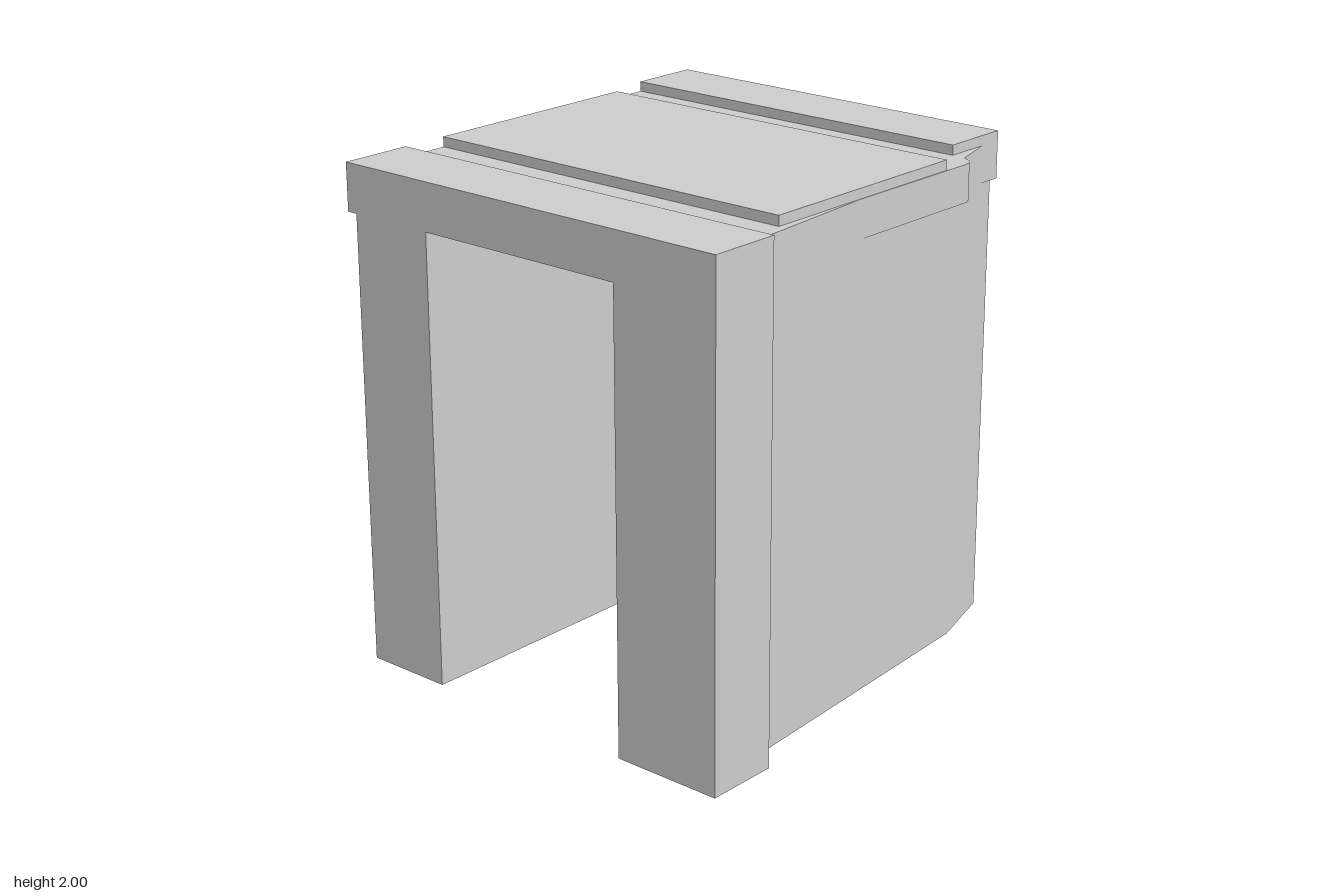
import * as THREE from 'three';
import { toCreasedNormals } from 'three/addons/utils/BufferGeometryUtils.js';

const material = new THREE.MeshStandardMaterial({ color: 0xcccccc });

// Plan shape from [x, z] points; a four-number entry is a curve [cx, cz, x, z]
function planShape(points) {
  const shape = new THREE.Shape();
  points.forEach((p, i) => {
    if (i === 0) shape.moveTo(p[0], -p[1]);
    else if (p.length === 4) shape.quadraticCurveTo(p[0], -p[1], p[2], -p[3]);
    else shape.lineTo(p[0], -p[1]);
  });
  return shape;
}

// Raise a plan outline from y0 to y1
function prism(name, y0, y1, points) {
  const geometry = new THREE.ExtrudeGeometry(planShape(points), {
    depth: y1 - y0, bevelEnabled: false, curveSegments: 10,
  });
  geometry.rotateX(-Math.PI / 2).translate(0, y0, 0);
  const mesh = new THREE.Mesh(toCreasedNormals(geometry, 0.25), material);
  mesh.name = name;
  return mesh;
}

const rectangle = (x0, x1, z0, z1) => [[x0, z0], [x1, z0], [x1, z1], [x0, z1]];

export function createModel() {
  const deckBase = 1.81, grooveY = 1.96, top = 2;
  const group = new THREE.Group();
  group.name = 'archway';

  group.add(
    // Side walls: tapered in plan, chamfered at the back corners
    prism('leftWall', 0, grooveY, [
      [0.46, 0.98], [0.92, 0.98], [0.92, 0.68], [0.83, 0.68],
      [0.73, -0.67], [0.64, -0.98], [0.46, -0.98],
    ]),
    prism('rightWall', 0, grooveY, [
      [-0.46, 0.98], [-0.83, 0.98], [-0.92, -0.69], [-0.83, -0.98], [-0.46, -0.98],
    ]),

    // Deck spanning the opening, with one rounded corner
    prism('deck', deckBase, grooveY, [
      [-0.875, 0.98], [0.92, 0.98], [0.92, 0.68], [0.78, 0.68], [0.785, -0.61],
      [0.785, -0.66, 0.73, -0.68], [0.67, -0.685], [0.67, -0.98],
      [-0.92, -0.98], [-0.92, -0.69], [-0.875, -0.69],
    ]),

    // Raised top panels, leaving two shallow grooves between them
    prism('frontRib', grooveY, top, rectangle(-0.875, 0.92, 0.68, 0.98)),
    prism('middlePanel', grooveY, top, rectangle(-0.875, 0.78, -0.495, 0.485)),
    prism('backRib', grooveY, top, rectangle(-0.92, 0.67, -0.98, -0.685)),
  );
  return group;
}
